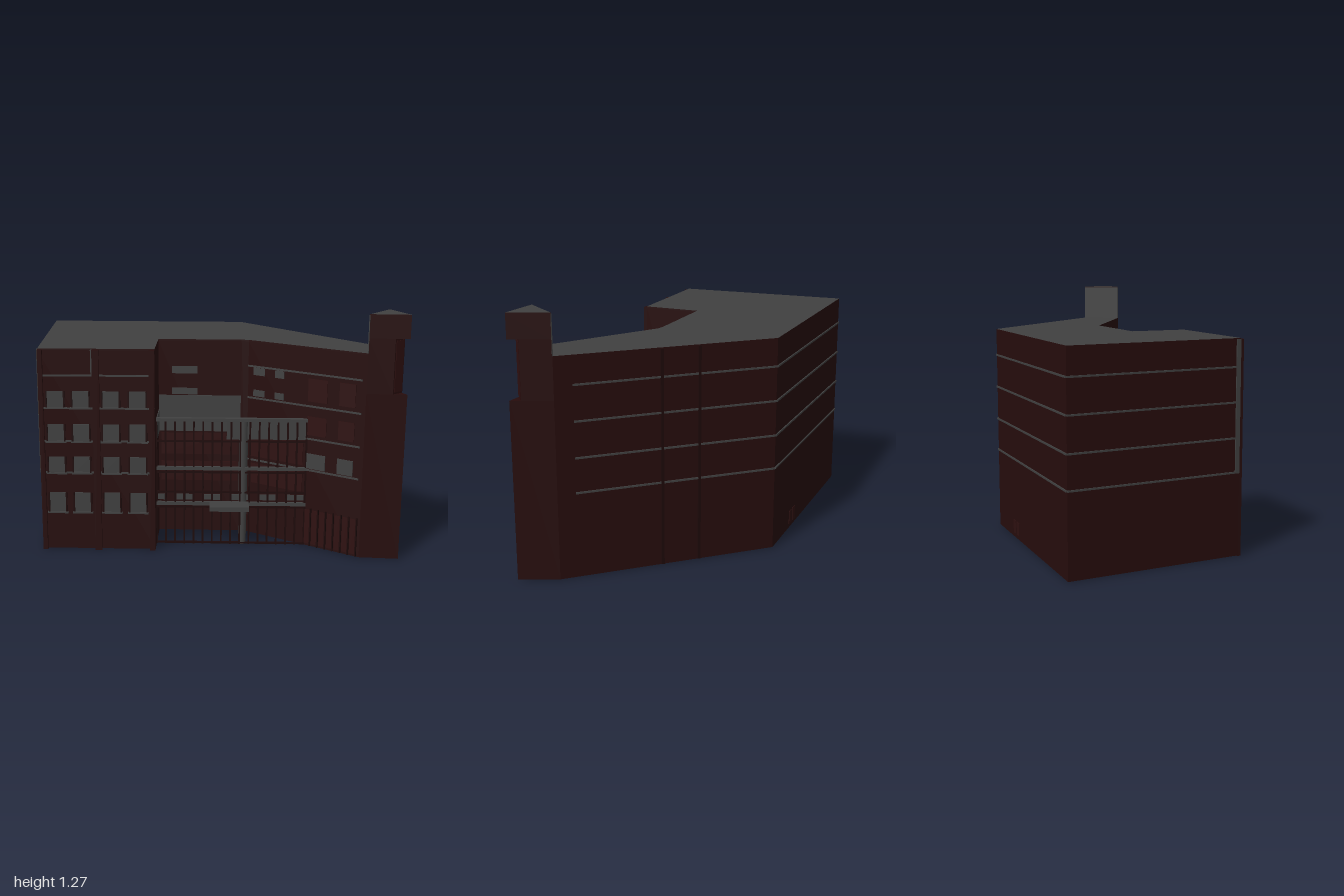
import * as THREE from 'three';

export function createModel() {
  const model = new THREE.Group();
  const mat = (name, color) => {
    const m = new THREE.MeshStandardMaterial({ color });
    m.name = name;
    return m;
  };
  const brick = mat('darkBrick', 0x260c0c);
  const frame = mat('frameBrown', 0x1d0909);
  const panel = mat('redBrownPanel', 0x2e1010);
  const grey = mat('slateGrey', 0x404040);

  // Plan corners as [x, z]
  const A = [-1, 0.15], B = [-0.285, -0.675], C = [0.8, -0.715], D = [0.99, -0.655], E = [0.85, -0.51];
  const F = [0.2, -0.305], G = [0.17, -0.28], H = [-0.12, 0.055], I = [0.105, 0.25], J = [-0.28, 0.705];
  const P = [0.03, 0.19], Q = [0.54, -0.42];

  const add = (name, geometry, material) => {
    const mesh = new THREE.Mesh(geometry, material);
    mesh.name = name;
    model.add(mesh);
    return mesh;
  };

  // Upright prism over a plan polygon
  const prism = (name, pts, y0, y1, material) => {
    const shape = new THREE.Shape(pts.map(([x, z]) => new THREE.Vector2(x, -z)));
    const g = new THREE.ExtrudeGeometry(shape, { depth: y1 - y0, bevelEnabled: false });
    g.rotateX(-Math.PI / 2).translate(0, y0, 0);
    return add(name, g, material);
  };

  // Box on the wall a-b: t0..t1 along it, y0..y1 high, standing out by d
  const onWall = (name, a, b, t0, t1, y0, y1, d, material, off = 0) => {
    const dx = b[0] - a[0], dz = b[1] - a[1], len = Math.hypot(dx, dz);
    const t = (t0 + t1) / 2, out = off + d / 2 - 0.001;
    const mesh = add(name, new THREE.BoxGeometry((t1 - t0) * len, y1 - y0, d + 0.002), material);
    mesh.position.set(a[0] + dx * t - (dz / len) * out, (y0 + y1) / 2, a[1] + dz * t + (dx / len) * out);
    mesh.rotation.y = Math.atan2(-dz, dx);
    return mesh;
  };

  // Main body and flat roof
  prism('mainBody', [J, I, H, G, F, E, C, B, A], 0.008, 1.077, brick);
  prism('roof', [J, I, H, G, F, E, C, B, A], 1.077, 1.085, [grey, brick]);

  // Corner tower with a notched tip
  const tip1 = [0.94, -0.605], tip2 = [0.94, -0.675];
  prism('towerBase', [C, E, D], 0.008, 0.88, brick);
  prism('towerNotch', [C, E, tip1, tip2], 0.88, 1.16, brick);
  prism('towerHead', [C, E, D], 1.16, 1.275, brick);
  prism('towerRoof', [C, E, D], 1.275, 1.28, [grey, brick]);
  onWall('towerInnerFace', C, E, 0, 1, 1.085, 1.275, 0.003, grey);
  onWall('towerNotchPanel', tip1, tip2, 0.1, 0.9, 0.89, 1.15, 0.003, panel);

  // String courses
  const levels = [0.43, 0.6, 0.775, 0.947];
  for (const y of levels) {
    for (const [a, b, t0, t1] of [[B, A, 0, 1], [A, J, 0, 1], [C, B, 0.08, 1], [J, I, 0, 1], [F, E, 0, 0.97]]) {
      onWall('stringCourse', a, b, t0, t1, y - 0.005, y + 0.004, 0.006, grey);
    }
  }
  onWall('cornerStrip', A, J, 0.975, 1, 0.43, 1.08, 0.006, grey);

  // Rear pilasters and small rear door
  for (const t of [0.46, 0.63]) onWall('rearPilaster', C, B, t, t + 0.012, 0.01, 1.08, 0.008, frame);
  for (const t of [0.24, 0.29]) onWall('rearVent', B, A, t, t + 0.035, 0.03, 0.1, 0.003, panel);

  // Front wing windows, with sills
  const rows = [[0.215, 0.32], [0.43, 0.515], [0.6, 0.69], [0.78, 0.865]];
  for (const [y0, y1] of rows) {
    for (const t of [0.14, 0.36, 0.62, 0.85]) {
      onWall('wingWindow', J, I, t - 0.07, t + 0.07, y0, y1, 0.004, grey);
      onWall('windowBar', J, I, t - 0.083, t - 0.07, y0, y1, 0.01, frame);
      onWall('windowBar', J, I, t + 0.07, t + 0.083, y0, y1, 0.01, frame);
      onWall('windowSill', J, I, t - 0.09, t + 0.09, y0 - 0.008, y0, 0.014, grey);
    }
  }
  // Front wing pilasters
  for (const [t0, t1] of [[0, 0.04], [0.465, 0.525], [0.95, 1]]) {
    onWall('wingPilaster', J, I, t0, t1, 0.005, 1.08, 0.018, brick);
  }
  onWall('pilasterStrip', J, I, 0.452, 0.465, 0.95, 1.08, 0.01, grey);

  // Courtyard glazing
  onWall('courtBand', H, G, 0, 1, 0.58, 0.78, 0.004, grey);
  onWall('courtBand', I, H, 0.3, 1, 0.58, 0.7, 0.004, grey);
  for (const [y0, y1] of [[0.785, 0.82], [0.9, 0.94]]) {
    onWall('courtWindow', H, G, 0.16, 0.47, y0, y1, 0.004, grey);
    onWall('courtWindow', F, E, 0.05, 0.15, y0, y1, 0.004, grey);
    onWall('courtWindow', F, E, 0.24, 0.32, y0, y1, 0.004, grey);
  }
  for (const [y0, y1] of [[0.3, 0.41], [0.45, 0.57]]) {
    onWall('courtPanel', H, G, 0.03, 0.97, y0, y1, 0.004, panel);
    onWall('courtPanel', F, E, 0.03, 0.5, y0, y1, 0.004, panel);
  }

  // Tower-side wing windows and ground floor bays
  for (const [t0, t1] of [[0.53, 0.69], [0.79, 0.92]]) {
    onWall('sideWindow', F, E, t0, t1, 0.438, 0.52, 0.004, grey);
    onWall('sideWindowUpper', F, E, t0, t1, 0.62, 0.72, 0.004, panel);
    onWall('sideWindowUpper', F, E, t0, t1, 0.8, 0.92, 0.004, panel);
  }
  for (let i = 0; i < 7; i++) {
    const t = 0.53 + i * 0.065;
    onWall('groundBay', F, E, t, t + 0.045, 0.02, 0.21, 0.004, panel);
    onWall('groundPost', F, E, t + 0.048, t + 0.058, 0.01, 0.22, 0.01, frame);
  }

  // Open screen across the courtyard
  const bays = 16;
  for (let i = 0; i <= bays; i++) {
    const t = 0.005 + (i / bays) * 0.99;
    onWall('screenMullion', P, Q, t - 0.006, t + 0.006, 0.008, 0.69, 0.012, frame);
    if (i < bays && i % 3 !== 1) {
      onWall('screenPanel', P, Q, t + 0.008, t + 0.054, 0.255, 0.285, 0.005, grey);
    }
  }
  for (const y of [0.01, 0.212, 0.295, 0.405, 0.575]) {
    onWall('screenTransom', P, Q, 0, 1, y, y + 0.008, 0.012, frame);
  }
  onWall('screenRail', P, Q, 0, 1, 0.422, 0.44, 0.014, grey);
  onWall('screenRail', P, Q, 0, 1, 0.226, 0.244, 0.014, grey);
  onWall('screenHead', P, Q, 0.47, 1, 0.59, 0.69, 0.005, grey);
  onWall('screenTop', P, Q, 0, 1, 0.688, 0.705, 0.024, grey, -0.006);

  // Entrance column and canopy
  const column = add('entranceColumn', new THREE.CylinderGeometry(0.025, 0.02, 0.68, 16), grey);
  column.position.set(0.32, 0.348, -0.17);
  onWall('entranceCanopy', P, Q, 0.36, 0.62, 0.226, 0.25, 0.1, grey, 0.012);

  return model;
}
